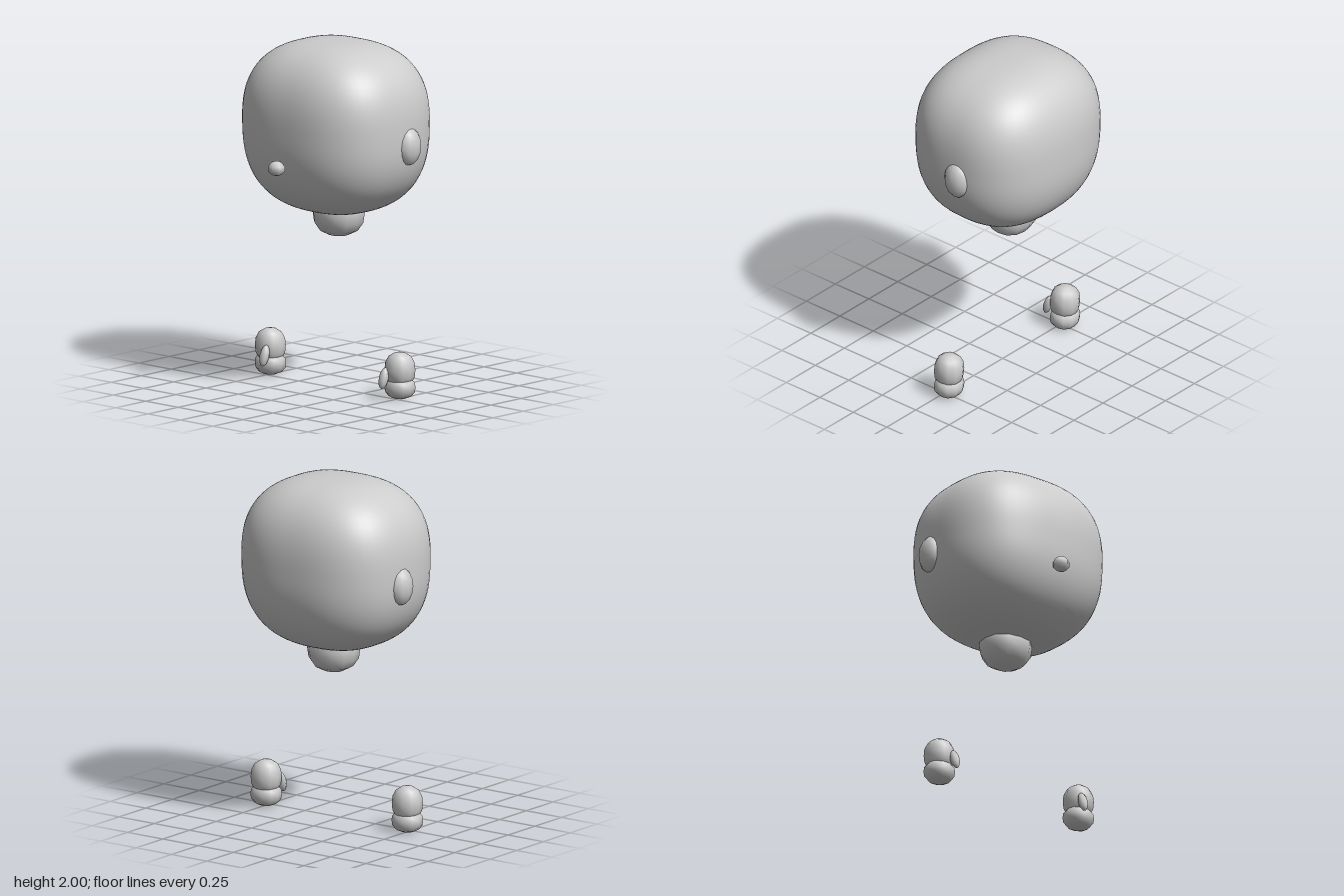
import * as THREE from 'three';
import { mergeVertices } from 'three/addons/utils/BufferGeometryUtils.js';

// Rounded-box blob: a sphere pushed outward to a superellipsoid
// (nTop / nBottom are the exponents of the upper and lower half)
function blob(rx, ry, rz, nTop, nBottom, w, h) {
  let geo = new THREE.SphereGeometry(1, w, h);
  geo.deleteAttribute('uv');
  geo.deleteAttribute('normal');
  geo = mergeVertices(geo, 1e-4);
  const p = geo.attributes.position;
  const v = new THREE.Vector3();
  for (let i = 0; i < p.count; i++) {
    v.fromBufferAttribute(p, i).normalize();
    const n = THREE.MathUtils.lerp(nBottom, nTop, THREE.MathUtils.smoothstep(v.y, -0.5, 0.5));
    const s = Math.abs(v.x) ** n + Math.abs(v.y) ** n + Math.abs(v.z) ** n;
    v.multiplyScalar(s ** (-1 / n));
    p.setXYZ(i, v.x * rx, v.y * ry, v.z * rz);
  }
  geo.computeVertexNormals();
  return geo;
}

export function createModel() {
  const model = new THREE.Group();
  model.name = 'floatingFigure';
  const clay = new THREE.MeshStandardMaterial({ color: 0xcccccc });
  clay.name = 'light grey';

  function add(parent, name, geo, x, y, z) {
    const mesh = new THREE.Mesh(geo, clay);
    mesh.name = name;
    mesh.position.set(x, y, z);
    parent.add(mesh);
    return mesh;
  }

  // Large smooth head, small body stub below it and a faceted nose
  add(model, 'head', blob(0.525, 0.495, 0.45, 2.65, 2.5, 64, 48), 0, 1.505, -0.04);
  add(model, 'body', blob(0.148, 0.135, 0.138, 2.4, 2.4, 12, 8), 0, 1.002, -0.062);
  add(model, 'nose', blob(0.052, 0.044, 0.05, 2, 2, 7, 5), -0.003, 1.33, 0.45);

  for (const side of [1, -1]) {
    const name = side > 0 ? 'left' : 'right';

    // Ear
    add(model, name + 'Ear', blob(0.06, 0.108, 0.083, 2, 2, 10, 8), side * 0.508, 1.445, -0.1);

    // Floating hand: rounded palm, curled fingers and a thumb on the inner front
    const hand = new THREE.Group();
    hand.name = name + 'Hand';
    hand.position.set(side * 0.5, 0, -0.033);
    model.add(hand);
    add(hand, 'palm', blob(0.083, 0.1, 0.082, 2.5, 2.5, 10, 8), 0, 0.167, 0);
    add(hand, 'fingers', blob(0.086, 0.066, 0.08, 2.5, 2.5, 10, 8), 0, 0.066, 0);
    const thumb = add(hand, 'thumb', blob(0.028, 0.062, 0.026, 2, 2, 8, 8), side * -0.04, 0.125, 0.092);
    thumb.rotation.x = -0.3;
  }
  return model;
}
